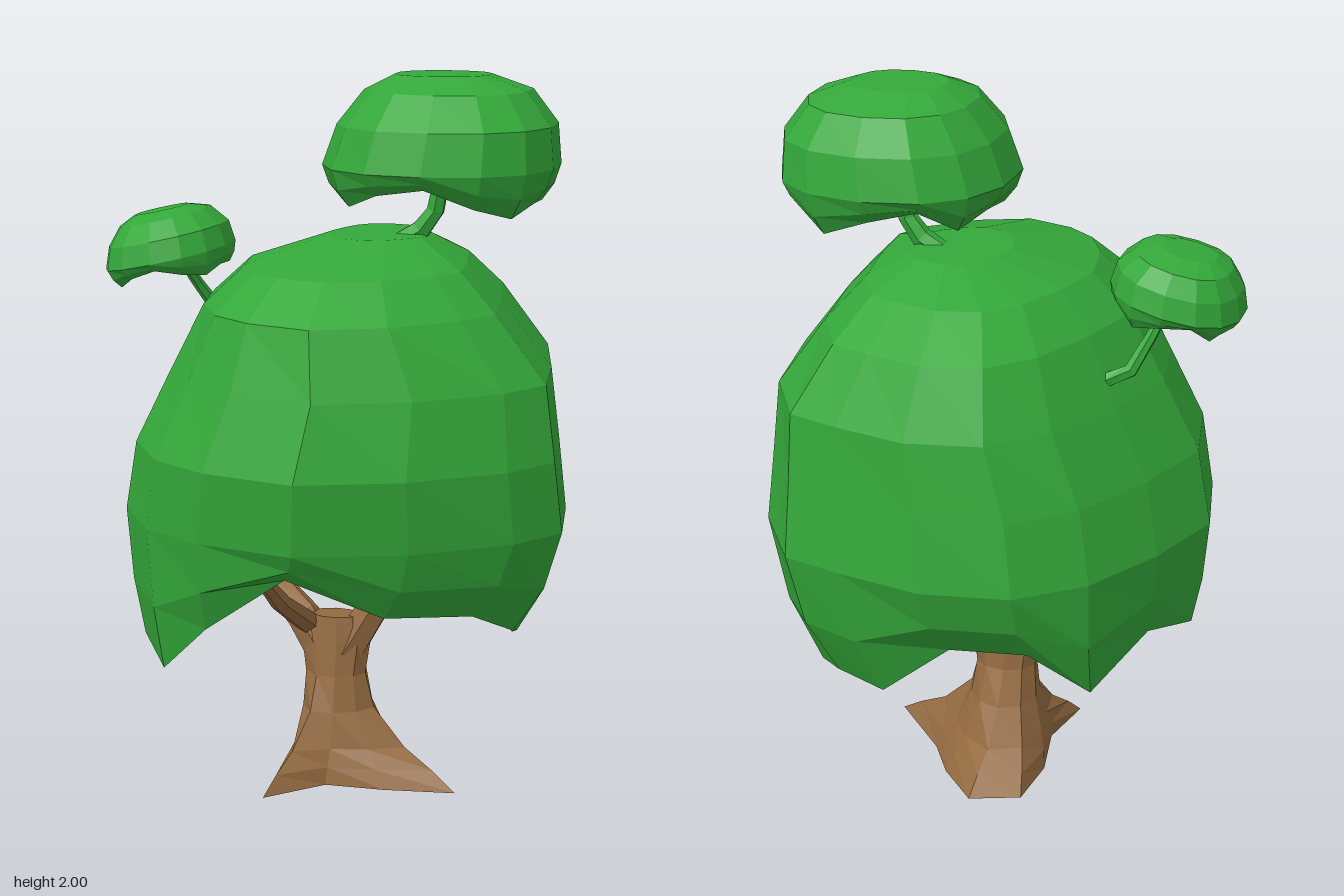
import * as THREE from 'three';

const V = (x, y, z) => new THREE.Vector3(x, y, z);
const leaf = new THREE.MeshStandardMaterial({ color: 0x34a83a, flatShading: true });
const bark = new THREE.MeshStandardMaterial({ color: 0x936a40, flatShading: true });

// Skins a stack of rings, listed from the top down, and closes both ends
function loft(rings) {
  const out = [];
  const tri = (...p) => p.forEach(v => out.push(v.x, v.y, v.z));
  const n = rings[0].length;
  const middle = ring => ring.reduce((s, p) => s.add(p), V(0, 0, 0)).divideScalar(n);
  const first = rings[0], last = rings[rings.length - 1];
  const top = middle(first), end = middle(last);
  for (let i = 0; i < n; i++) {
    const j = (i + 1) % n;
    tri(top, first[i], first[j]);
    tri(end, last[j], last[i]);
    for (let r = 0; r + 1 < rings.length; r++) {
      const a = rings[r], b = rings[r + 1];
      tri(a[i], b[i], b[j]);
      tri(a[i], b[j], a[j]);
    }
  }
  const g = new THREE.BufferGeometry();
  g.setAttribute('position', new THREE.Float32BufferAttribute(out, 3));
  g.computeVertexNormals();
  return g;
}

// Foliage dome: a unit outline stretched to each box [y, x0, x1, z0, z1],
// a ragged rim with its own heights, and a hollow underside
function foliage(outline, boxes, rimBox, rim, ceiling) {
  const fit = ([x0, x1, z0, z1], yAt) => outline.map(([u, w], i) =>
    V((x0 + x1) / 2 + u * (x1 - x0) / 2, yAt(i), (z0 + z1) / 2 + w * (z1 - z0) / 2));
  const shrink = (k, yAt) => {
    const [x0, x1, z0, z1] = rimBox, cx = (x0 + x1) / 2, cz = (z0 + z1) / 2;
    return fit([cx + (x0 - cx) * k, cx + (x1 - cx) * k, cz + (z0 - cz) * k, cz + (z1 - cz) * k], yAt);
  };
  const low = boxes[boxes.length - 1];
  const rings = boxes.map(([y, ...box]) => fit(box, () => y));
  const belly = low.slice(1).map((v, k) => v * 0.65 + rimBox[k] * 0.35);
  rings.push(fit(belly, i => rim[i] + (low[0] - rim[i]) * 0.45));
  rings.push(fit(rimBox, i => rim[i]));
  rings.push(shrink(0.84, i => rim[i] * 0.5 + ceiling * 0.5));
  rings.push(shrink(0.5, () => ceiling));
  return loft(rings);
}

// Tapered limb through points [x, y, z, radius], listed from tip to base
function limb(points, sides = 6) {
  const p = points.map(([x, y, z]) => V(x, y, z));
  return loft(p.map((c, i) => {
    const dir = p[Math.max(i - 1, 0)].clone().sub(p[Math.min(i + 1, p.length - 1)]).normalize();
    const q = new THREE.Quaternion().setFromUnitVectors(V(0, 1, 0), dir);
    return Array.from({ length: sides }, (_, k) => {
      const a = k / sides * Math.PI * 2;
      return V(Math.sin(a), 0, Math.cos(a)).multiplyScalar(points[i][3]).applyQuaternion(q).add(c);
    });
  }));
}

export function createModel() {
  const tree = new THREE.Group();
  tree.name = 'tree';
  const add = (name, geometry, material) => {
    const m = new THREE.Mesh(geometry, material);
    m.name = name;
    tree.add(m);
    return m;
  };

  // Trunk: spreading roots blending into an oval stem
  const roots = [[0, 0.13], [0.17, 0.13], [0.37, 0.11], [0.2, -0.08], [0.13, -0.2],
    [0.02, -0.32], [-0.12, -0.27], [-0.14, -0.1], [-0.11, 0.08], [-0.15, 0.26]];
  const stem = [ // y, half width, half depth, centre z, share of root shape
    [0.47, 0.07, 0.045, -0.01, 0], [0.4, 0.105, 0.06, -0.015, 0], [0.3, 0.09, 0.075, -0.015, 0],
    [0.2, 0.095, 0.1, -0.02, 0.08], [0.1, 0.11, 0.11, -0.02, 0.4], [0.05, 0.12, 0.12, -0.02, 0.72], [0, 0.1, 0.1, 0, 1]];
  add('trunk', loft(stem.map(([y, rx, rz, cz, k]) => roots.map(([x, z], i) => {
    const a = (i + 0.2) / roots.length * Math.PI * 2;
    return V(THREE.MathUtils.lerp(Math.sin(a) * rx, x, k), y, THREE.MathUtils.lerp(cz + Math.cos(a) * rz, z, k));
  }))), bark);

  // Boughs
  add('leftBough', limb([[0.27, 0.76, -0.06, 0.035], [0.2, 0.62, -0.05, 0.04], [0.1, 0.48, -0.02, 0.05], [0.03, 0.36, -0.01, 0.055]]), bark);
  add('rightBough', limb([[-0.3, 0.54, -0.18, 0.035], [-0.2, 0.52, -0.1, 0.042], [-0.1, 0.45, -0.03, 0.05], [-0.03, 0.35, -0.01, 0.055]]), bark);
  add('frontBough', limb([[-0.13, 0.66, 0.32, 0.02], [-0.11, 0.56, 0.2, 0.028], [-0.08, 0.45, 0.02, 0.035]]), bark);
  add('twig', limb([[-0.12, 0.68, -0.1, 0.022], [-0.13, 0.59, -0.1, 0.026], [-0.17, 0.5, -0.09, 0.028]]), bark);

  // Main canopy
  const plan = [[0.02, 0.65], [0.31, 0.56], [0.56, 0.4], [0.67, 0.26], [0.65, 0], [0.59, -0.34],
    [0.45, -0.56], [0.28, -0.61], [0.04, -0.66], [-0.2, -0.62], [-0.37, -0.48], [-0.5, -0.25],
    [-0.59, 0], [-0.54, 0.27], [-0.42, 0.47], [-0.25, 0.58]].map(([x, z]) => [(x - 0.04) / 0.63, z / 0.655]);
  const canopyBoxes = [
    [1.565, -0.02, 0.24, -0.22, 0.12],
    [1.5, -0.23, 0.38, -0.39, 0.43],
    [1.4, -0.34, 0.48, -0.53, 0.56],
    [1.22, -0.44, 0.62, -0.61, 0.61],
    [1.02, -0.54, 0.65, -0.63, 0.655],
    [0.82, -0.585, 0.67, -0.65, 0.62]];
  const canopyRim = [0.73, 0.62, 0.6, 0.53, 0.46, 0.36, 0.44, 0.42, 0.6, 0.6, 0.45, 0.56, 0.5, 0.45, 0.41, 0.56];
  add('canopy', foliage(plan, canopyBoxes, [-0.54, 0.54, -0.53, 0.53], canopyRim, 0.8), leaf);

  // Upper leaf clusters: one rounded cap, reused smaller and tilted
  const round = Array.from({ length: 14 }, (_, i) => {
    const a = i / 14 * Math.PI * 2, f = v => Math.sign(v) * Math.abs(v) ** 0.88;
    return [f(Math.sin(a)), f(Math.cos(a))];
  });
  const capBoxes = [
    [0.22, -0.13, 0.13, -0.13, 0.11],
    [0.18, -0.21, 0.24, -0.25, 0.23],
    [0.09, -0.28, 0.31, -0.31, 0.31],
    [-0.02, -0.32, 0.32, -0.33, 0.33]];
  const capRim = [-0.06, -0.11, -0.14, -0.11, -0.12, -0.09, -0.14, -0.09, -0.06, -0.12, -0.09, -0.11, -0.12, -0.08];
  const cap = foliage(round, capBoxes, [-0.27, 0.27, -0.28, 0.28], capRim, -0.03);
  const large = add('largeLeafCluster', cap, leaf);
  large.position.set(0.29, 1.78, -0.03);
  const small = add('smallLeafCluster', cap, leaf);
  small.position.set(-0.485, 1.495, -0.04);
  small.scale.set(0.57, 0.54, 0.61);
  small.rotation.z = 0.22;

  // Green stems carrying the clusters
  add('largeClusterStem', limb([[0.3, 1.78, -0.04, 0.022], [0.27, 1.63, -0.05, 0.026], [0.23, 1.575, -0.05, 0.03], [0.14, 1.52, -0.05, 0.03]]), leaf);
  add('smallClusterStem', limb([[-0.47, 1.49, -0.06, 0.014], [-0.43, 1.39, -0.13, 0.016], [-0.39, 1.31, -0.18, 0.02], [-0.32, 1.28, -0.2, 0.022]]), leaf);

  return tree;
}
